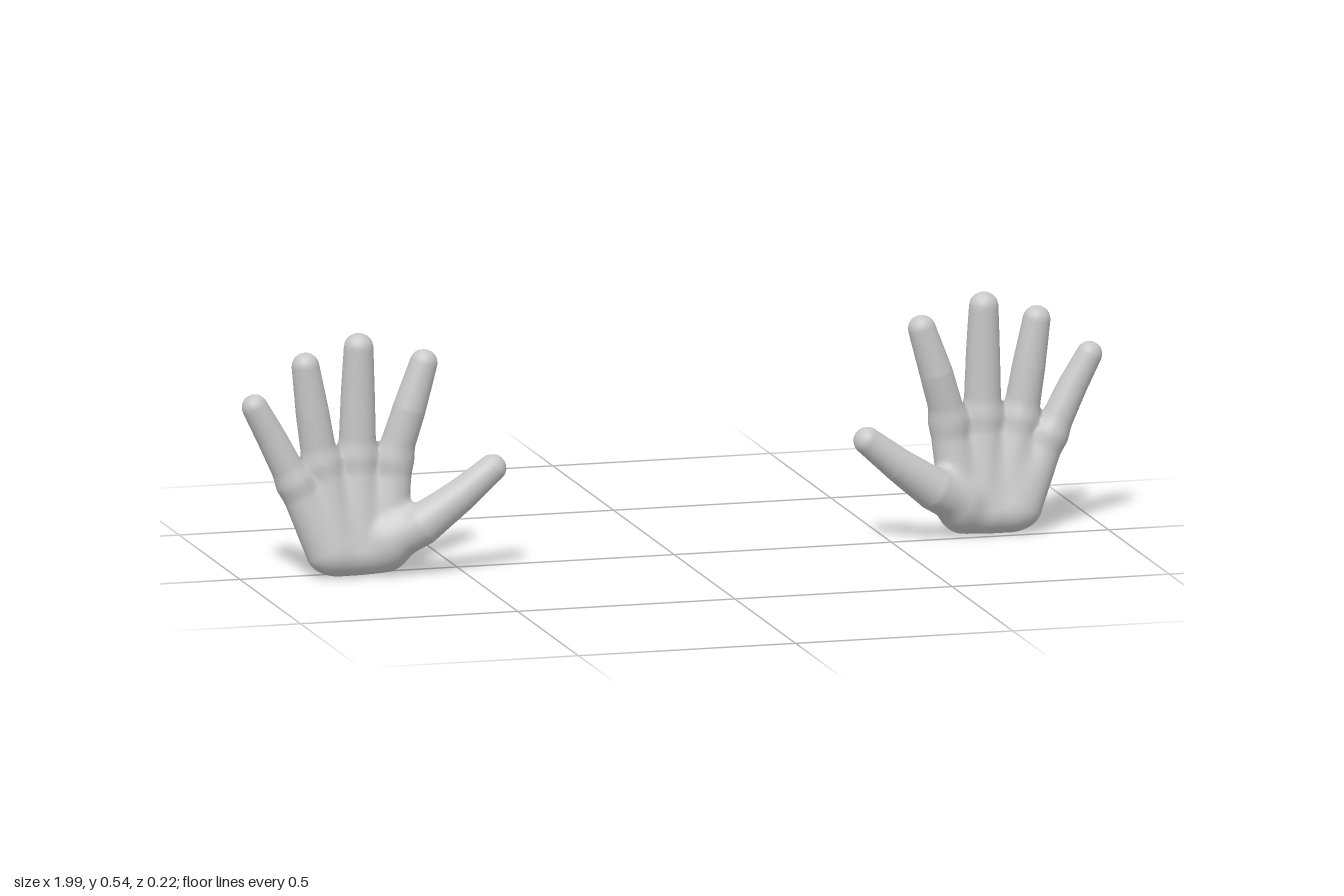
import * as THREE from 'three';
import { mergeVertices } from 'three/addons/utils/BufferGeometryUtils.js';

// Bones of the left hand: chains of [x, y, z, radius] joints
const metacarpals = [
  [[0.645, 0.262, -0.057, 0.040], [0.675, 0.065, -0.036, 0.050]],
  [[0.728, 0.268, -0.066, 0.042], [0.725, 0.062, -0.038, 0.050]],
  [[0.810, 0.258, -0.062, 0.041], [0.775, 0.062, -0.037, 0.050]],
  [[0.876, 0.222, -0.049, 0.037], [0.808, 0.068, -0.032, 0.046]],
];
const digits = {
  thumb: [[0.440, 0.248, 0.017, 0.031], [0.515, 0.187, 0.012, 0.038], [0.600, 0.125, 0.002, 0.047], [0.660, 0.090, -0.020, 0.048]],
  indexFinger: [[0.648, 0.270, -0.053, 0.039], [0.615, 0.380, -0.042, 0.037], [0.582, 0.482, -0.042, 0.031]],
  middleFinger: [[0.728, 0.280, -0.066, 0.042], [0.728, 0.410, -0.062, 0.038], [0.728, 0.522, -0.055, 0.033]],
  ringFinger: [[0.815, 0.270, -0.063, 0.040], [0.833, 0.380, -0.060, 0.037], [0.850, 0.486, -0.056, 0.031]],
  littleFinger: [[0.880, 0.230, -0.047, 0.037], [0.930, 0.330, -0.050, 0.033], [0.969, 0.402, -0.048, 0.029]],
};
const fingerNames = Object.keys(digits).filter((n) => n !== 'thumb');

// Distance to a chain of tapered capsules
function chainDistance(p, chain) {
  let best = Infinity;
  for (let i = 0; i + 1 < chain.length; i++) {
    const a = chain[i], b = chain[i + 1];
    const ux = b[0] - a[0], uy = b[1] - a[1], uz = b[2] - a[2];
    const vx = p[0] - a[0], vy = p[1] - a[1], vz = p[2] - a[2];
    const t = Math.min(1, Math.max(0, (vx * ux + vy * uy + vz * uz) / (ux * ux + uy * uy + uz * uz)));
    const d = Math.hypot(vx - t * ux, vy - t * uy, vz - t * uz) - (a[3] + t * (b[3] - a[3]));
    best = Math.min(best, d);
  }
  return best;
}

// Rounded union of two distances
function blend(a, b, k) {
  const h = Math.max(k - Math.abs(a - b), 0) / k;
  return Math.min(a, b) - h * h * k / 4;
}

const palmDistance = (p) => metacarpals.reduce((d, bone) => blend(d, chainDistance(p, bone), 0.025), 1);

function handDistance(p) {
  const body = blend(palmDistance(p), chainDistance(p, digits.thumb), 0.03);
  const fingers = Math.min(...fingerNames.map((n) => chainDistance(p, digits[n])));
  return blend(body, fingers, 0.022);
}

function gradient(p) {
  const e = 0.001;
  return [0, 1, 2].map((a) => {
    const hi = [...p], lo = [...p];
    hi[a] += e;
    lo[a] -= e;
    return (handDistance(hi) - handDistance(lo)) / (2 * e);
  });
}

// One continuous skin over the bones, made on a regular grid
function buildSkin() {
  const step = 0.0085, min = [0.38, -0.04, -0.15];
  const n = [76, 74, 28];
  const stride = [1, n[0], n[0] * n[1]];
  const at = (c) => c[0] + c[1] * stride[1] + c[2] * stride[2];
  const point = (c) => c.map((v, a) => min[a] + v * step);
  const field = new Float32Array(n[0] * n[1] * n[2]);
  const eachCell = (fn) => {
    for (let z = 0; z < n[2] - 1; z++)
      for (let y = 0; y < n[1] - 1; y++)
        for (let x = 0; x < n[0] - 1; x++) fn([x, y, z]);
  };
  field.fill(1);
  eachCell((c) => { field[at(c)] = handDistance(point(c)); });

  // One vertex in each cell that the surface crosses
  const vertexOf = new Map(), positions = [], normals = [];
  eachCell((c) => {
    const sum = [0, 0, 0];
    let count = 0;
    for (let corner = 0; corner < 8; corner++) {
      const o = [corner & 1, (corner >> 1) & 1, corner >> 2];
      const from = c.map((v, a) => v + o[a]), d0 = field[at(from)];
      for (let a = 0; a < 3; a++) {
        if (o[a]) continue;
        const d1 = field[at(from) + stride[a]];
        if ((d0 < 0) === (d1 < 0)) continue;
        const q = [...from];
        q[a] += d0 / (d0 - d1);
        q.forEach((v, i) => { sum[i] += v; });
        count++;
      }
    }
    if (!count) return;
    let p = point(sum.map((v) => v / count));
    for (let i = 0; i < 2; i++) {
      const g = gradient(p), d = handDistance(p);
      const len2 = Math.max(0.3, g[0] * g[0] + g[1] * g[1] + g[2] * g[2]);
      const move = Math.max(-step / 2, Math.min(step / 2, d / len2));
      p = p.map((v, a) => v - g[a] * move);
    }
    const g = gradient(p), len = Math.hypot(...g) || 1;
    vertexOf.set(at(c), positions.length / 3);
    positions.push(...p);
    normals.push(...g.map((v) => v / len));
  });

  // One quad round each grid edge that the surface crosses
  const triangles = [];
  eachCell((c) => {
    const i = at(c);
    for (let a = 0; a < 3; a++) {
      const inside = field[i] < 0;
      if (inside === (field[i + stride[a]] < 0)) continue;
      const b = stride[(a + 1) % 3], d = stride[(a + 2) % 3];
      const q = [i - b - d, i - d, i, i - b].map((k) => vertexOf.get(k));
      if (!inside) q.reverse();
      triangles.push([q[0], q[1], q[2]], [q[0], q[2], q[3]]);
    }
  });

  // Stand the wrist on the ground
  let low = Infinity;
  for (let i = 1; i < positions.length; i += 3) low = Math.min(low, positions[i]);
  return { positions, normals, triangles, low };
}

// Share the skin out among the palm and the digits
function splitSkin({ positions, normals, triangles, low }) {
  const lists = { palm: [] };
  for (const name in digits) lists[name] = [];
  for (const tri of triangles) {
    const p = [0, 1, 2].map((a) => tri.reduce((s, v) => s + positions[v * 3 + a], 0) / 3);
    let owner = 'palm', best = palmDistance(p);
    for (const name in digits) {
      const d = chainDistance(p, digits[name]);
      if (d < best) { best = d; owner = name; }
    }
    lists[owner].push(...tri);
  }
  const parts = {};
  for (const name in lists) {
    const geo = new THREE.BufferGeometry();
    geo.setAttribute('position', new THREE.Float32BufferAttribute(positions, 3));
    geo.setAttribute('normal', new THREE.Float32BufferAttribute(normals, 3));
    geo.setIndex(lists[name]);
    parts[name] = mergeVertices(geo.toNonIndexed(), 1e-6).translate(0, -low, 0);
  }
  return parts;
}

function mirrored(geometry) {
  const geo = geometry.clone().scale(-1, 1, 1);
  const idx = geo.index.array;
  for (let i = 0; i < idx.length; i += 3) [idx[i], idx[i + 1]] = [idx[i + 1], idx[i]];
  return geo;
}

export function createModel() {
  const model = new THREE.Group();
  model.name = 'pairOfHands';
  const skin = new THREE.MeshStandardMaterial({ color: 0xc8c8c8 });
  skin.name = 'light grey';
  const parts = splitSkin(buildSkin());

  for (const side of ['left', 'right']) {
    const hand = new THREE.Group();
    hand.name = side + 'Hand';
    for (const name in parts) {
      const mesh = new THREE.Mesh(side === 'left' ? parts[name] : mirrored(parts[name]), skin);
      mesh.name = side + name[0].toUpperCase() + name.slice(1);
      hand.add(mesh);
    }
    // The right hand is held a little further forward
    if (side === 'right') hand.position.z = 0.06;
    model.add(hand);
  }
  return model;
}
